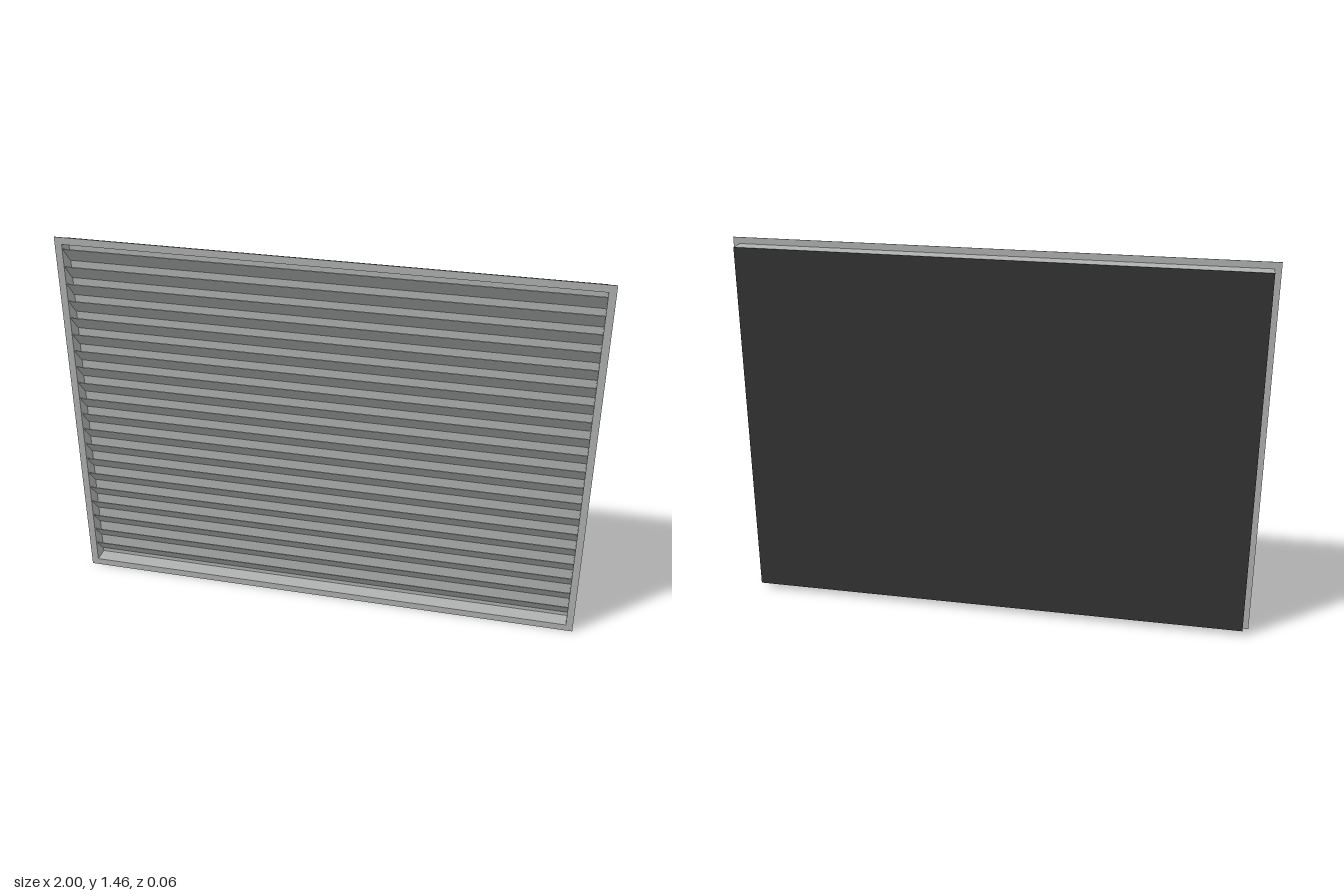
import * as THREE from 'three';

export function createModel() {
  const model = new THREE.Group();
  const grey = new THREE.MeshStandardMaterial({ color: 0xb0b2b1 });
  grey.name = 'grey metal';
  const dark = new THREE.MeshStandardMaterial({ color: 0x343434 });
  dark.name = 'dark backing';

  const H = 1.455, midY = H / 2;

  // Rectangular ring of given outer and inner size, running from z0 to z1
  function ring(name, w, h, iw, ih, z0, z1) {
    const rect = (P, a, b) => new P([
      new THREE.Vector2(-a / 2, -b / 2), new THREE.Vector2(a / 2, -b / 2),
      new THREE.Vector2(a / 2, b / 2), new THREE.Vector2(-a / 2, b / 2)]);
    const shape = rect(THREE.Shape, w, h);
    shape.holes.push(rect(THREE.Path, iw, ih));
    const geo = new THREE.ExtrudeGeometry(shape, { depth: z1 - z0, bevelEnabled: false });
    const mesh = new THREE.Mesh(geo, grey);
    mesh.name = name;
    mesh.position.set(0, midY, z0);
    model.add(mesh);
  }

  function panel(name, w, h, z0, z1, material) {
    const mesh = new THREE.Mesh(new THREE.BoxGeometry(w, h, z1 - z0), material);
    mesh.name = name;
    mesh.position.set(0, midY, (z0 + z1) / 2);
    model.add(mesh);
  }

  // Front flange and the sleeve behind it
  ring('frontFlange', 2, H, 1.946, 1.401, 0.029, 0.032);
  ring('sleeve', 1.952, 1.407, 1.946, 1.401, -0.03, 0.029);

  // Closed back: grey inside, dark outside
  panel('backWall', 1.946, 1.401, -0.03, -0.0285, grey);
  panel('backPlate', 1.952, 1.407, -0.032, -0.03, dark);

  // Slats lean forward at the top, so their undersides face the front
  const slats = new THREE.Group();
  slats.name = 'slats';
  const rise = 0.062, depth = 0.052, count = 20, pitch = 0.0684;
  const slatGeo = new THREE.BoxGeometry(1.946, Math.hypot(rise, depth), 0.003);
  for (let i = 0; i < count; i++) {
    const slat = new THREE.Mesh(slatGeo, grey);
    slat.name = 'slat';
    slat.position.set(0, midY + (i - (count - 1) / 2) * pitch, 0);
    slat.rotation.x = Math.atan2(depth, rise);
    slats.add(slat);
  }
  model.add(slats);
  return model;
}
